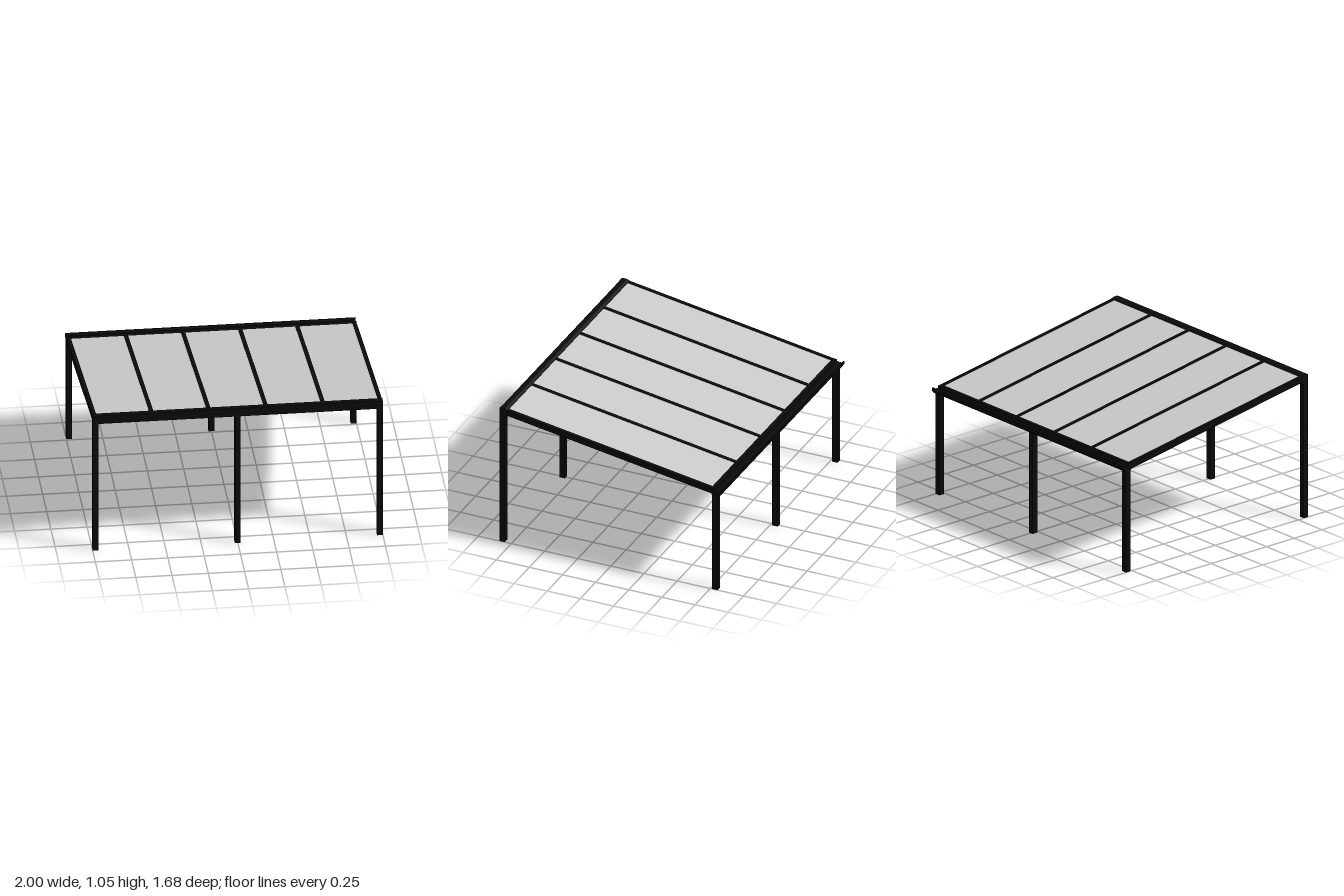
import * as THREE from 'three';

export function createModel() {
  const model = new THREE.Group();
  const frame = new THREE.MeshStandardMaterial({ color: 0x0b0b0b });
  const panelMat = new THREE.MeshStandardMaterial({ color: 0xcccccc });

  const add = (geo, name, mat = frame, parent = model) => {
    const mesh = new THREE.Mesh(geo, mat);
    mesh.name = name;
    parent.add(mesh);
    return mesh;
  };

  // Extrudes a (z, y) profile along the full width in x
  const beam = (points, name) => {
    const shape = new THREE.Shape(points.map(([z, y]) => new THREE.Vector2(-z, y)));
    const geo = new THREE.ExtrudeGeometry(shape, { depth: 2, bevelEnabled: false });
    geo.translate(0, 0, -1);
    geo.rotateY(Math.PI / 2);
    add(geo, name);
  };

  // Posts: tall front row, short back row
  for (const x of [-0.98, 0, 0.98]) {
    add(new THREE.BoxGeometry(0.04, 1.045, 0.04), 'frontPost').position.set(x, 0.5225, 0.82);
    add(new THREE.BoxGeometry(0.04, 0.76, 0.042), 'backPost').position.set(x, 0.38, -0.785);
  }

  // High front beam with chamfered inner edges
  beam([[0.836, 0.985], [0.836, 1.047], [0.8, 1.047], [0.782, 1.038],
    [0.782, 0.985], [0.79, 0.977], [0.815, 0.977]], 'frontBeam');

  // Low back gutter with a shallow channel along its top
  beam([[-0.746, 0.788], [-0.782, 0.79], [-0.786, 0.772], [-0.828, 0.772], [-0.832, 0.787],
    [-0.84, 0.787], [-0.84, 0.765], [-0.825, 0.747], [-0.8, 0.735], [-0.77, 0.735], [-0.746, 0.757]], 'backGutter');

  // Sloping roof, built flat and then tilted
  const roof = new THREE.Group();
  roof.name = 'roof';
  const run = 1.57, drop = 0.252;
  const length = Math.hypot(run, drop);
  roof.position.set(0, 0.894, 0.015);
  roof.rotation.x = -Math.atan2(drop, run);
  model.add(roof);

  const bays = 5, pitch = 1.97 / bays;
  for (let i = 0; i <= bays; i++) {
    const x = (i - bays / 2) * pitch;
    add(new THREE.BoxGeometry(0.028, 0.042, length), 'rafter', frame, roof).position.x = x;
    if (i < bays) {
      add(new THREE.BoxGeometry(pitch - 0.026, 0.01, length - 0.02), 'roofPanel', panelMat, roof)
        .position.set(x + pitch / 2, 0.012, 0);
    }
  }
  return model;
}
